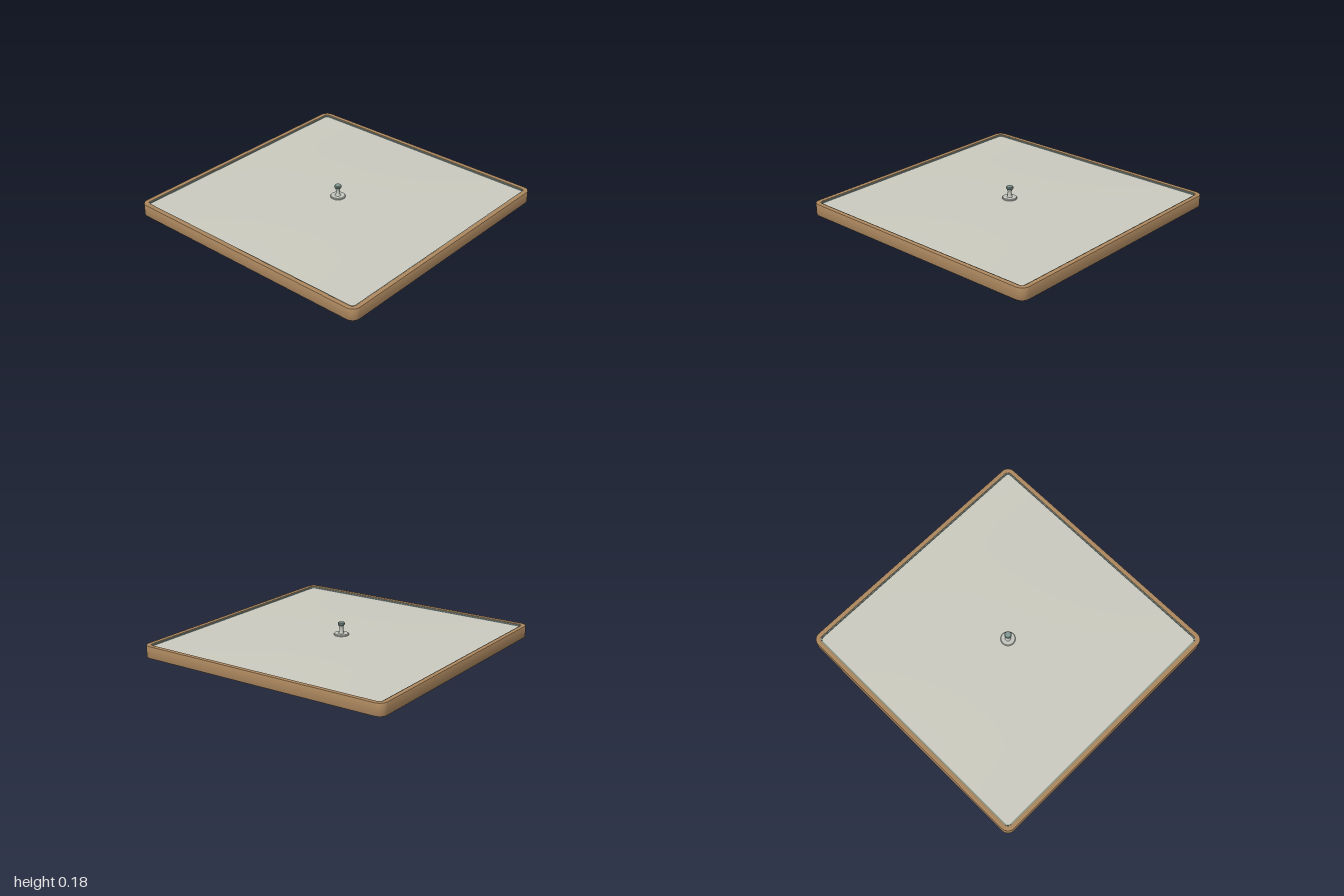
import * as THREE from 'three';
import { toCreasedNormals } from 'three/addons/utils/BufferGeometryUtils.js';

const material = (name, color) => {
  const m = new THREE.MeshStandardMaterial({ color });
  m.name = name;
  return m;
};

// Rounded square outline of half-size h and corner radius r
function roundedSquare(h, r, Type = THREE.Shape) {
  const s = new Type();
  const c = h - r;
  [[1, 1], [-1, 1], [-1, -1], [1, -1]].forEach(([x, y], i) => {
    s.absarc(x * c, y * c, r, i * Math.PI / 2, (i + 1) * Math.PI / 2, false);
  });
  s.closePath();
  return s;
}

// Square ring standing between heights y0 and y1
function squareRing(outer, outerR, inner, innerR, y0, y1, bevel) {
  const shape = roundedSquare(outer, outerR);
  shape.holes.push(roundedSquare(inner, innerR, THREE.Path));
  const g = new THREE.ExtrudeGeometry(shape, {
    depth: y1 - y0 - 2 * bevel, curveSegments: 8, bevelEnabled: bevel > 0,
    bevelSize: bevel, bevelThickness: bevel, bevelOffset: -bevel, bevelSegments: 2,
  });
  g.rotateX(-Math.PI / 2);
  g.translate(0, y0 + bevel, 0);
  return toCreasedNormals(g, 0.6);
}

// Turned part from [radius, height] pairs
function turned(points) {
  const g = new THREE.LatheGeometry(points.map(([r, y]) => new THREE.Vector2(r, y)), 32);
  return toCreasedNormals(g, 0.6);
}

export function createModel() {
  const wood = material('wood', 0xad885f);
  const pale = material('pale panel', 0xcbcbc0);
  const metal = material('pale metal', 0xc4c7be);
  const teal = material('grey teal', 0x849a94);

  const model = new THREE.Group();
  const add = (name, geometry, mat) => {
    const mesh = new THREE.Mesh(geometry, mat);
    mesh.name = name;
    model.add(mesh);
  };

  // Frame and the thin liner inside its upper edge
  add('frame', squareRing(1, 0.06, 0.965, 0.03, 0, 0.09, 0.004), wood);
  add('liner', squareRing(0.967, 0.032, 0.958, 0.023, 0.06, 0.085, 0), teal);

  // Panel set into the frame, its top very slightly domed
  const panel = new THREE.BoxGeometry(1.93, 0.036, 1.93, 24, 1, 24);
  panel.translate(0, 0.058, 0);
  const p = panel.attributes.position;
  for (let i = 0; i < p.count; i++) {
    if (p.getY(i) < 0.058) continue;
    const x = p.getX(i) / 0.965, z = p.getZ(i) / 0.965;
    p.setY(i, 0.076 + 0.012 * (1 - x * x) * (1 - z * z));
  }
  panel.computeVertexNormals();
  add('panel', panel, pale);

  // Centre knob: flange, waisted stem and cap
  add('flange', turned([[0, 0.08], [0.054, 0.08], [0.054, 0.095], [0.05, 0.1], [0, 0.1]]), metal);
  add('stem', turned([
    [0.022, 0.099], [0.017, 0.105], [0.0145, 0.12], [0.014, 0.14], [0.017, 0.152], [0.022, 0.16],
  ]), metal);
  add('cap', turned([
    [0, 0.158], [0.02, 0.158], [0.026, 0.166], [0.026, 0.176], [0.022, 0.181], [0.012, 0.183], [0, 0.183],
  ]), teal);

  return model;
}
